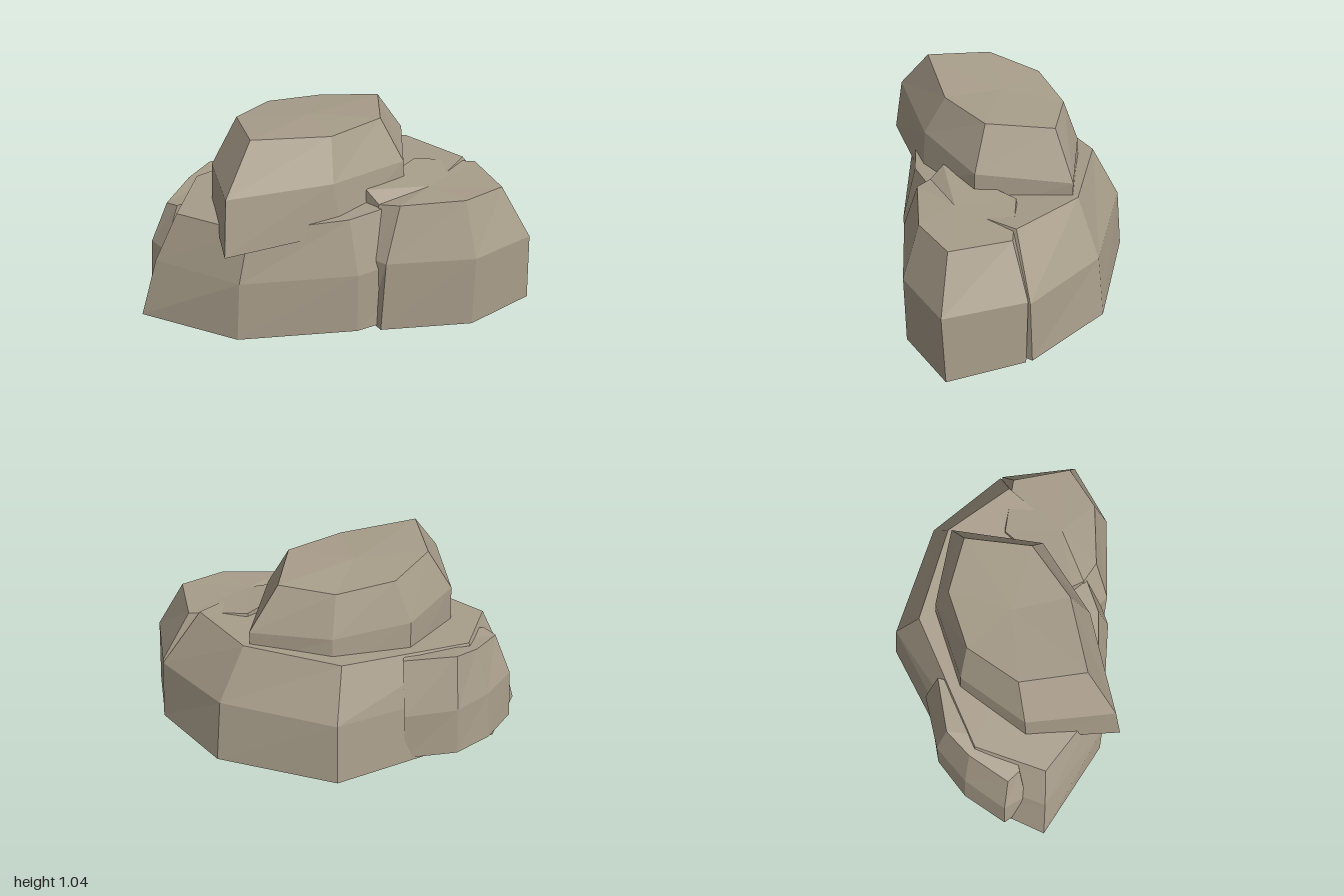
import * as THREE from 'three';

// A faceted boulder: rings of [x, y, z] corners from bottom to top, closed with flat caps
function boulder(name, rings, material) {
  const pos = [];
  const tri = (a, b, c) => pos.push(...a, ...b, ...c);
  const n = rings[0].length;
  const centre = (r) => [0, 1, 2].map((k) => r.reduce((s, p) => s + p[k], 0) / n);
  const low = rings[0], high = rings[rings.length - 1];
  const lowMid = centre(low), highMid = centre(high);
  for (let i = 0; i < n; i++) {
    const j = (i + 1) % n;
    for (let k = 0; k + 1 < rings.length; k++) {
      const [a, b] = [rings[k], rings[k + 1]];
      tri(a[i], a[j], b[j]);
      tri(a[i], b[j], b[i]);
    }
    tri(lowMid, low[j], low[i]);
    tri(highMid, high[i], high[j]);
  }
  const geometry = new THREE.BufferGeometry();
  geometry.setAttribute('position', new THREE.Float32BufferAttribute(pos, 3));
  geometry.computeVertexNormals();
  const mesh = new THREE.Mesh(geometry, material);
  mesh.name = name;
  return mesh;
}

// Lay a plan outline of [x, z] corners on the sloping plane y = h + sx * x + sz * z
const ring = (plan, h, sx = 0, sz = 0) => plan.map(([x, z]) => [x, Math.max(0, h + sx * x + sz * z), z]);

export function createModel() {
  const group = new THREE.Group();
  group.name = 'rockPile';
  const stone = new THREE.MeshStandardMaterial({ color: 0xa89d8a, flatShading: true });
  stone.name = 'warm grey stone';

  // Wide tilted base
  group.add(boulder('baseBoulder', [
    ring([[-1, 0.19], [-0.54, 0.52], [0.06, 0.58], [0.55, 0.45], [0.95, 0.01], [0.65, -0.39], [0.04, -0.6], [-0.82, -0.18]], 0.045, 0.04, -0.03),
    ring([[-0.91, 0.19], [-0.52, 0.51], [0.06, 0.575], [0.5, 0.44], [0.93, 0.02], [0.62, -0.36], [0.04, -0.57], [-0.76, -0.18]], 0.37, 0.05, -0.04),
    ring([[-0.79, 0.19], [-0.46, 0.47], [0.03, 0.5], [0.42, 0.38], [0.72, 0.06], [0.49, -0.27], [0.01, -0.43], [-0.66, -0.16]], 0.645, 0.08, -0.04),
  ], stone));

  // Upper boulder resting on the base
  group.add(boulder('topBoulder', [
    ring([[-0.59, 0.58], [0, 0.46], [0.37, 0.23], [0.46, -0.25], [0.05, -0.35], [-0.35, -0.23], [-0.605, 0.1]], 0.55, 0.03, -0.02),
    ring([[-0.57, 0.535], [-0.04, 0.44], [0.36, 0.22], [0.46, -0.25], [0.05, -0.34], [-0.35, -0.22], [-0.595, 0.09]], 0.775, -0.01, 0.05),
    [[-0.43, 1.04, 0.39], [-0.03, 1, 0.33], [0.25, 1, 0.155], [0.31, 0.985, -0.18], [0.03, 0.97, -0.265], [-0.27, 0.99, -0.18], [-0.46, 1.02, 0.06]],
  ], stone));

  // Boulder at the front, on the +x side
  group.add(boulder('frontBoulder', [
    ring([[0.18, 0.58], [0.65, 0.6], [1, 0.43], [0.95, 0.04], [0.5, 0], [0.14, 0.36], [0.14, 0.5]], 0.08, 0, -0.1),
    ring([[0.2, 0.575], [0.65, 0.6], [0.98, 0.44], [0.93, 0.03], [0.5, 0], [0.13, 0.37], [0.135, 0.51]], 0.43, 0, -0.05),
    [[0.28, 0.68, 0.5], [0.61, 0.685, 0.51], [0.83, 0.68, 0.39], [0.78, 0.68, 0.085], [0.47, 0.7, 0.03], [0.14, 0.71, 0.36], [0.19, 0.66, 0.43]],
  ], stone));

  // Small boulder tucked against the back, on the -x side
  group.add(boulder('backBoulder', [
    ring([[-0.94, -0.02], [-0.86, 0.1], [-0.4, 0.05], [-0.32, -0.41], [-0.6, -0.37], [-0.79, -0.23]], 0.05, 0.02, -0.04),
    ring([[-0.92, -0.02], [-0.86, 0.09], [-0.4, 0.05], [-0.31, -0.42], [-0.59, -0.365], [-0.77, -0.22]], 0.34, 0.03, 0),
    [[-0.83, 0.54, 0], [-0.78, 0.55, 0.06], [-0.4, 0.62, 0], [-0.3, 0.62, -0.34], [-0.58, 0.61, -0.3], [-0.7, 0.58, -0.19]],
  ], stone));

  return group;
}
